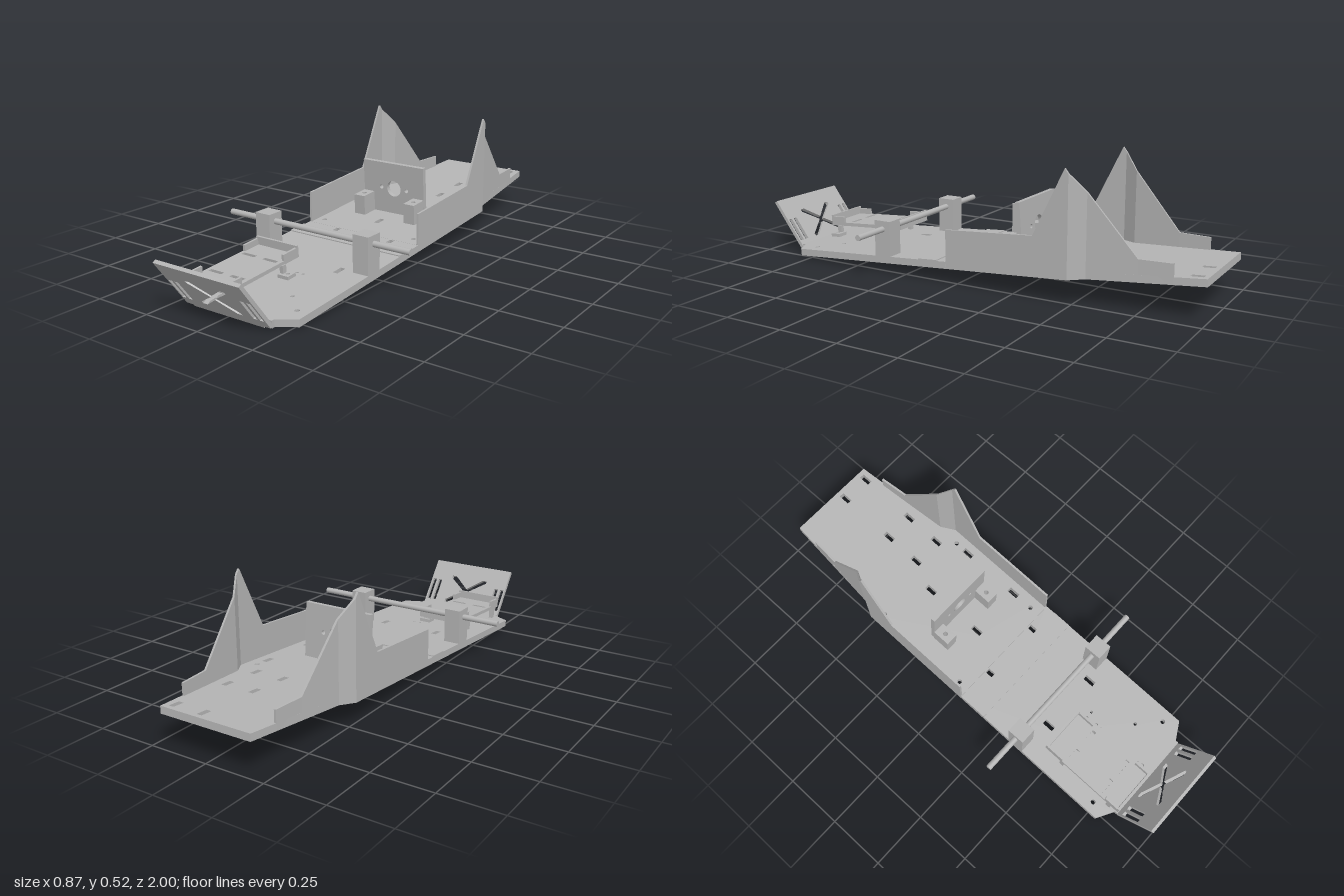
import * as THREE from 'three';

const SLOPE = 0.0703;            // chassis tilts down towards the front
const BASE = 0.065;              // underside height at z = 0
const floorY = z => BASE - SLOPE * z;

export function createModel() {
  const model = new THREE.Group();
  model.name = 'chassis';
  const grey = new THREE.MeshStandardMaterial({ color: 0xb4b4b4 });
  grey.name = 'plain grey';

  const add = (parent, name, geometry, x = 0, y = 0, z = 0) => {
    const mesh = new THREE.Mesh(geometry, grey);
    mesh.name = name;
    mesh.position.set(x, y, z);
    parent.add(mesh);
    return mesh;
  };
  // box given by its limits
  const box = (parent, name, x0, x1, y0, y1, z0, z1) =>
    add(parent, name, new THREE.BoxGeometry(x1 - x0, y1 - y0, z1 - z0),
      (x0 + x1) / 2, (y0 + y1) / 2, (z0 + z1) / 2);

  const poly = pts => pts.map(p => new THREE.Vector2(p[0], p[1]));
  const rect = (x, y, w, h) => poly([
    [x - w / 2, y - h / 2], [x + w / 2, y - h / 2], [x + w / 2, y + h / 2], [x - w / 2, y + h / 2]]);
  const disc = (x, y, r, n = 20) => Array.from({ length: n }, (_, i) => {
    const a = i / n * Math.PI * 2;
    return new THREE.Vector2(x + r * Math.cos(a), y + r * Math.sin(a));
  });
  const extrude = (outline, holes, depth) => {
    const shape = new THREE.Shape(outline);
    shape.holes = holes.map(h => new THREE.Path(h));
    return new THREE.ExtrudeGeometry(shape, { depth, bevelEnabled: false });
  };
  // flat slab drawn in x and z, from y0 up to y1
  const slab = (parent, name, outline, holes, y0, y1) =>
    add(parent, name, extrude(outline, holes, y1 - y0).rotateX(Math.PI / 2), 0, y1, 0);

  // everything tilted with the floor
  const deck = new THREE.Group();
  deck.name = 'deck';
  deck.position.y = BASE;
  deck.rotation.x = Math.atan(SLOPE);
  model.add(deck);

  const T = 0.029;
  const slot = ([x, z, l = 0.05]) => rect(x, z, 0.022, l);
  const bolt = ([x, z, r = 0.01]) => disc(x, z, r, 14);

  // floor plates
  slab(deck, 'rearFloor',
    poly([[-0.275, 0.04], [-0.275, -0.49], [-0.24, -0.55], [-0.2, -1], [0.2, -1], [0.24, -0.55], [0.275, -0.49], [0.275, 0.04]]),
    [
      ...[[0.04, -0.955], [0.168, -0.955], [0.04, -0.685], [0.168, -0.685], [0.04, -0.52], [0.168, -0.52],
        [-0.015, -0.378], [0.222, -0.378], [-0.015, -0.108], [0.222, -0.108]].map(slot),
      ...[[-0.232, -0.447], [0.222, -0.447], [-0.232, -0.008], [0.222, -0.008]].map(bolt),
    ], 0, T);
  slab(deck, 'frontFloor',
    poly([[-0.275, 0.041], [0.275, 0.041], [0.275, 0.79], [0.2, 0.832], [0.2, 0.845], [-0.2, 0.845], [-0.2, 0.832], [-0.275, 0.79]]),
    [
      ...[[-0.115, 0.062, 0.034], [0.155, 0.062, 0.034], [-0.115, 0.395], [0.148, 0.395]].map(slot),
      ...[[-0.232, 0.74], [0.225, 0.74], [0.138, 0.66, 0.008], [0.02, 0.49, 0.006], [0.05, 0.49, 0.006]].map(bolt),
    ], 0, T);
  box(deck, 'joiningStrip', -0.275, 0.275, T - 0.002, T + 0.004, 0.083, 0.17);

  // motor mount: upright plate with bored blocks in front
  add(deck, 'motorPlate', extrude(
    poly([[-0.162, T - 0.002], [0.143, T - 0.002], [0.143, 0.255], [-0.162, 0.255]]),
    [disc(-0.008, 0.142, 0.035, 32), disc(-0.072, 0.142, 0.009), disc(0.056, 0.142, 0.009)], 0.02), 0, 0, -0.237);
  for (const x of [-0.138, 0.116])
    slab(deck, 'motorBlock', rect(x, -0.18, 0.053, 0.08), [disc(x, -0.178, 0.01)], T, 0.115);

  // servo tray with corner walls at both ends
  const trayHoles = [];
  for (const z of [0.555, 0.735]) for (const x of [-0.157, -0.052]) trayHoles.push(rect(x, z, 0.065, 0.017));
  slab(deck, 'trayFloor', rect(-0.103, 0.643, 0.204, 0.39), trayHoles, 0.073, 0.088);
  for (const [z0, z1, end] of [[0.448, 0.535, 0.448], [0.765, 0.838, 0.828]]) {
    box(deck, 'trayEnd', -0.205, -0.001, 0.073, 0.121, end, end + 0.01);
    for (const x of [-0.205, -0.011]) box(deck, 'traySide', x, x + 0.01, 0.073, 0.113, z0, z1);
  }
  // tray posts and bolted feet
  for (const z of [0.54, 0.793]) {
    box(deck, 'trayPost', -0.012, 0.004, T, 0.075, z - 0.01, z + 0.01);
    box(deck, 'trayPost', -0.205, -0.189, T, 0.075, z - 0.01, z + 0.01);
    slab(deck, 'trayFoot', rect(0.012, z, 0.05, 0.046), [disc(0.018, z, 0.008, 14)], T, T + 0.014);
  }

  // side walls: stations of z, outer x, top height
  const stations = [[0.04, 0.275, 0.222], [-0.345, 0.275, 0.25], [-0.475, 0.275, 0.517], [-0.49, 0.275, 0.498],
    [-0.55, 0.24, 0.43], [-0.745, 0.222, 0.205], [-0.875, 0.211, 0.205]];
  for (const side of [1, -1]) {
    const pos = [], idx = [];
    for (const [z, x, top] of stations)
      for (const [dx, y] of [[0, floorY(z)], [0, top], [-0.009, top], [-0.009, floorY(z)]])
        pos.push(side * (x + dx), y, z);
    const quad = (a, b, c, d) => side > 0 ? idx.push(a, b, c, a, c, d) : idx.push(a, c, b, a, d, c);
    const last = stations.length - 1;
    for (let i = 0; i < last; i++)
      for (let k = 0; k < 4; k++) {
        const n = (k + 1) % 4;
        quad(i * 4 + k, i * 4 + 4 + k, i * 4 + 4 + n, i * 4 + n);
      }
    quad(0, 1, 2, 3);
    quad(last * 4 + 3, last * 4 + 2, last * 4 + 1, last * 4);
    let g = new THREE.BufferGeometry();
    g.setAttribute('position', new THREE.Float32BufferAttribute(pos, 3));
    g.setIndex(idx);
    g = g.toNonIndexed();
    g.computeVertexNormals();
    add(model, side > 0 ? 'leftWall' : 'rightWall', g);

    // axle block
    box(model, 'axleBlock', side > 0 ? 0.204 : -0.275, side > 0 ? 0.275 : -0.204, 0.055, 0.219, 0.31, 0.385);
  }

  // front axle rod
  add(model, 'axle', new THREE.CylinderGeometry(0.0122, 0.0122, 0.874, 24).rotateZ(Math.PI / 2), 0, 0.184, 0.347);

  // sloping nose panel with cross and slot cutouts
  const q = [[0.013, 0], [0.093, 0.058], [0.093, 0.07], [0.072, 0.07], [0, 0.013]];
  const cy = 0.118;
  const cross = poly([
    ...q,
    ...q.slice(0, 4).reverse().map(([x, y]) => [-x, y]),
    ...q.slice(1).map(([x, y]) => [-x, -y]),
    ...q.slice(1, 4).reverse().map(([x, y]) => [x, -y]),
  ].map(([x, y]) => [x, y + cy]));
  const slots = [-0.184, -0.154, 0.153, 0.183].map(x => rect(x, 0.103, 0.018, 0.108));
  const nose = add(model, 'nosePanel', extrude(
    poly([[-0.167, 0], [0.167, 0], [0.167, 0.01], [0.2, 0.01], [0.2, 0.257], [-0.2, 0.257], [-0.2, 0.01], [-0.167, 0.01]]),
    [cross, ...slots], 0.015), 0, 0.009, 0.833);
  nose.rotation.x = Math.atan2(0.155, 0.205);

  return model;
}
